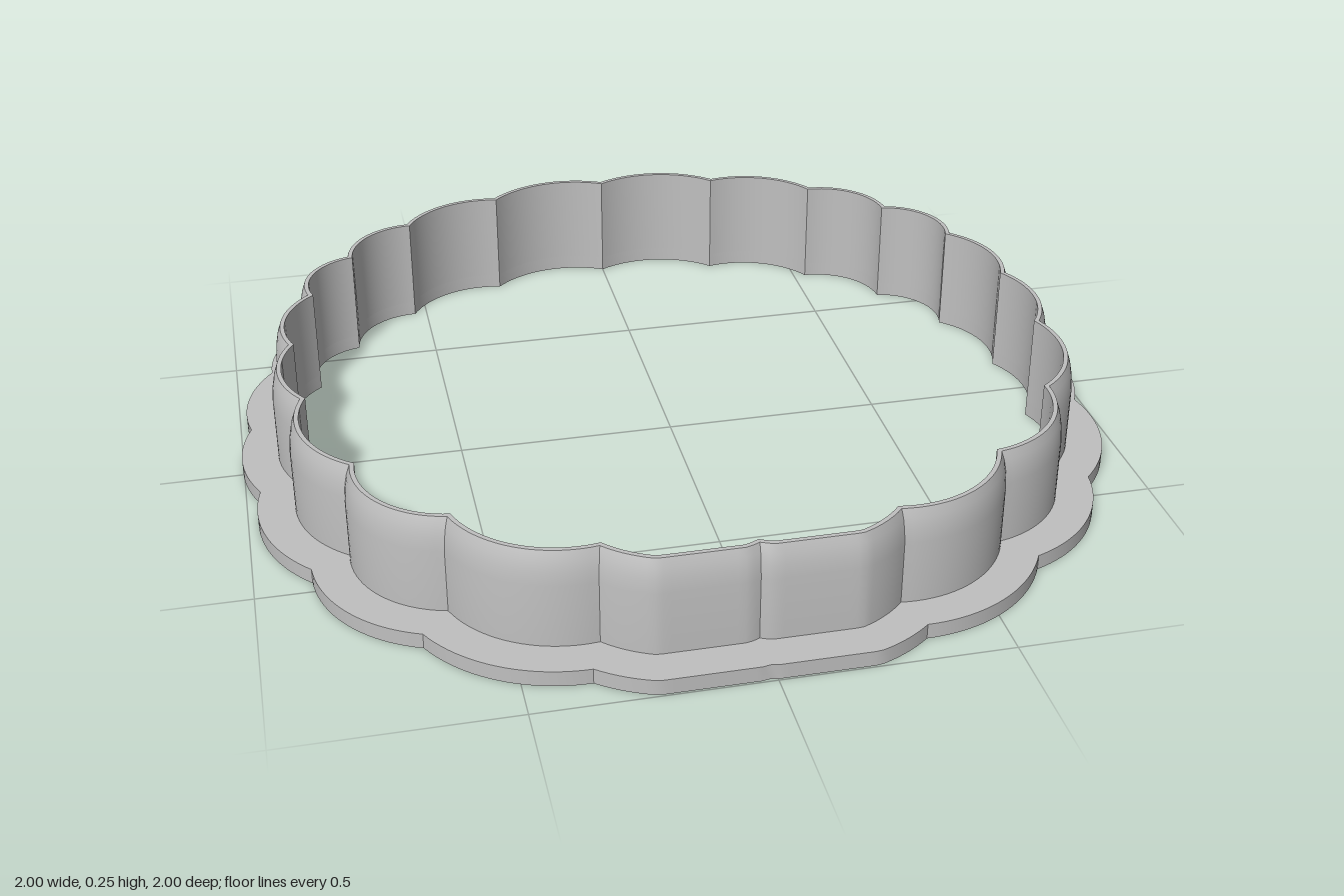
import * as THREE from 'three';
import { toCreasedNormals } from 'three/addons/utils/BufferGeometryUtils.js';

// Inner cusps [x, z, bulge of the lobe that follows], from the back, round by the left side
const CUSPS = [
  [0, -0.863, 0.05], [0.29, -0.82, 0.045], [0.53, -0.71, 0.045], [0.687, -0.555, 0.05],
  [0.798, -0.37, 0.042], [0.857, -0.13, 0.04], [0.847, 0.125, 0.055], [0.757, 0.42, 0.06],
  [0.56, 0.655, 0.06], [0.29, 0.82, 0.054], [-0.015, 0.875, 0.054], [-0.32, 0.82, 0.06],
  [-0.595, 0.655, 0.06], [-0.767, 0.42, 0.055], [-0.849, 0.125, 0.04], [-0.859, -0.13, 0.042],
  [-0.798, -0.37, 0.05], [-0.689, -0.555, 0.045], [-0.53, -0.71, 0.045], [-0.29, -0.82, 0.05],
];
const FLAT_FRONT = 0.888;
const STEPS = 20;

// Each lobe is a circle through two neighbouring cusps
const LOBES = CUSPS.map(([x0, z0, bulge], i) => {
  const [x1, z1] = CUSPS[(i + 1) % CUSPS.length];
  const len = Math.hypot(x1 - x0, z1 - z0);
  const r = (len * len / 4 + bulge * bulge) / (2 * bulge);
  const nx = (z1 - z0) / len, nz = -(x1 - x0) / len;
  return { x: (x0 + x1) / 2 - nx * (r - bulge), z: (z0 + z1) / 2 - nz * (r - bulge), r };
});

// Outer crossing point of two lobes grown by d
function crossing(a, b, d) {
  const ra = a.r + d, rb = b.r + d;
  const dx = b.x - a.x, dz = b.z - a.z, dist = Math.hypot(dx, dz);
  const t = (ra * ra - rb * rb + dist * dist) / (2 * dist);
  const h = Math.sqrt(Math.max(0, ra * ra - t * t));
  const ux = dx / dist, uz = dz / dist;
  return [a.x + ux * t + uz * h, a.z + uz * t - ux * h];
}

// Scalloped outline grown by d, with the front lobes cut flat
function outline(d) {
  const n = LOBES.length, points = [];
  LOBES.forEach((lobe, i) => {
    const p = crossing(LOBES[(i + n - 1) % n], lobe, d);
    const q = crossing(lobe, LOBES[(i + 1) % n], d);
    const a = Math.atan2(p[1] - lobe.z, p[0] - lobe.x);
    let b = Math.atan2(q[1] - lobe.z, q[0] - lobe.x);
    if (b < a) b += Math.PI * 2;
    for (let k = 0; k < STEPS; k++) {
      const t = a + (b - a) * k / STEPS;
      points.push([
        lobe.x + (lobe.r + d) * Math.cos(t),
        Math.min(lobe.z + (lobe.r + d) * Math.sin(t), FLAT_FRONT + d),
      ]);
    }
  });
  return points;
}

// Sweep a profile of [offset, height] points round the outline
function sweep(name, profile, material) {
  const rings = profile.map(([d, y]) => outline(d).map(([x, z]) => [x, y, z]));
  const n = rings[0].length, positions = [], index = [];
  rings.forEach(ring => ring.forEach(p => positions.push(...p)));
  for (let i = 0; i < rings.length - 1; i++) {
    for (let j = 0; j < n; j++) {
      const k = (j + 1) % n;
      const a = i * n + j, b = i * n + k, c = a + n, e = b + n;
      index.push(a, c, e, a, e, b);
    }
  }
  const geometry = new THREE.BufferGeometry();
  geometry.setAttribute('position', new THREE.Float32BufferAttribute(positions, 3));
  geometry.setIndex(index);
  const mesh = new THREE.Mesh(toCreasedNormals(geometry, 0.4), material);
  mesh.name = name;
  return mesh;
}

export function createModel() {
  const group = new THREE.Group();
  group.name = 'scallopedCutter';
  const grey = new THREE.MeshStandardMaterial({ color: 0xc0c0c0 });
  grey.name = 'grey';

  // Flat rim to press on
  group.add(sweep('rim', [[0, 0.035], [0, 0], [0.108, 0], [0.108, 0.035], [0.025, 0.035]], grey));

  // Upright wall, thinning to a cutting edge
  group.add(sweep('wall', [
    [0.025, 0.035], [0.025, 0.18], [0.022, 0.21], [0.017, 0.235], [0.01, 0.255], [0, 0.255], [0, 0.035],
  ], grey));
  return group;
}
